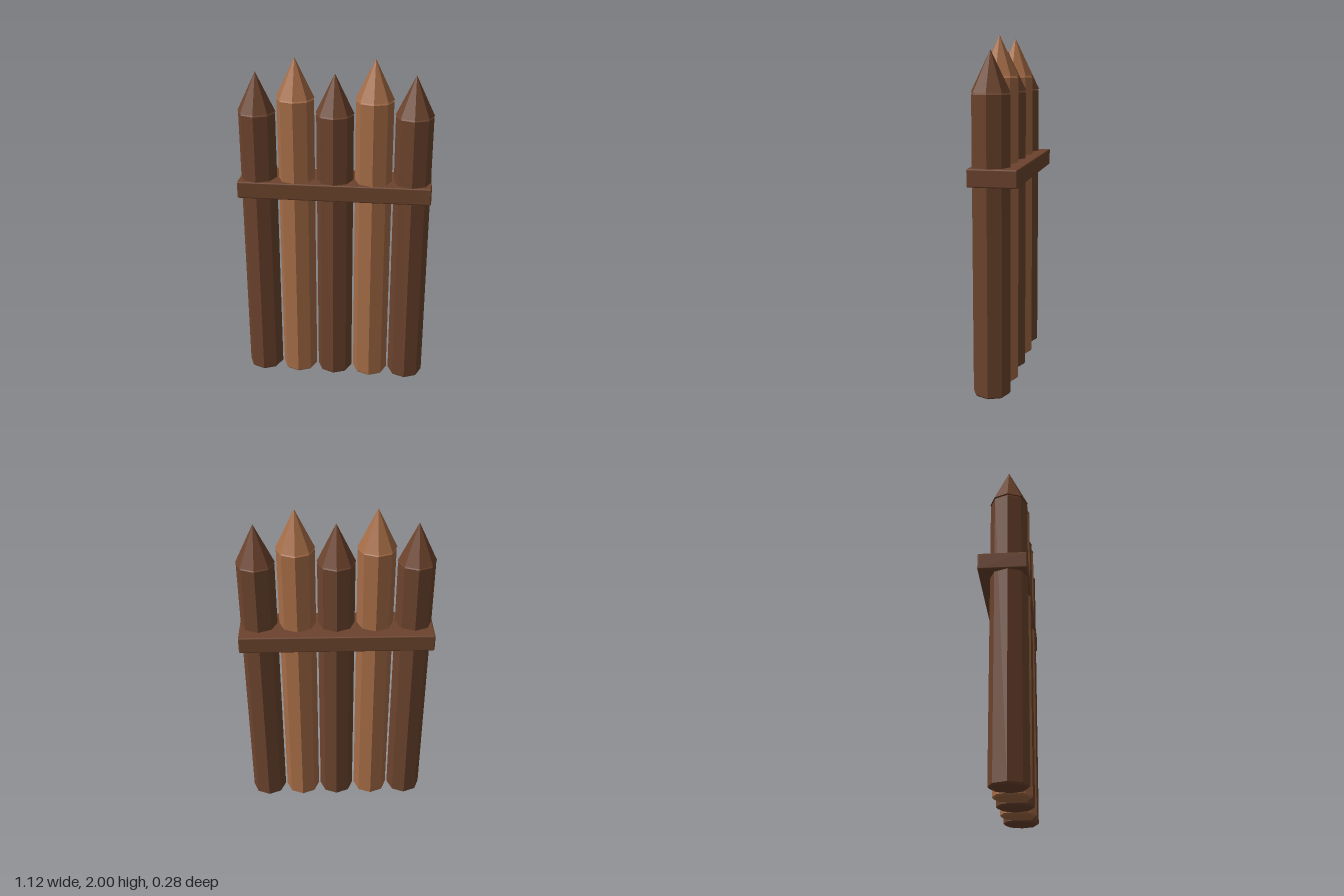
import * as THREE from 'three';
import { RoundedBoxGeometry } from 'three/addons/geometries/RoundedBoxGeometry.js';

const SIDES = 8;
const SPACING = 0.225;
const LOG_Z = 0.027;

// Give each facet its own flat normal
function faceted(geometry) {
  const flat = geometry.toNonIndexed();
  flat.computeVertexNormals();
  return flat;
}

// Eight-sided log with slightly bevelled ends
function logGeometry(height, radius = 0.107, bevel = 0.01) {
  const profile = [
    [0, 0], [radius - bevel, 0], [radius, bevel],
    [radius, height - bevel], [radius - bevel, height], [0, height],
  ].map(([x, y]) => new THREE.Vector2(x, y));
  return faceted(new THREE.LatheGeometry(profile, SIDES));
}

export function createModel() {
  const darkWood = new THREE.MeshStandardMaterial({ color: 0x6c432d });
  darkWood.name = 'dark wood';
  const lightWood = new THREE.MeshStandardMaterial({ color: 0xa56c46 });
  lightWood.name = 'light wood';

  const model = new THREE.Group();
  model.name = 'palisade';

  // Five sharpened stakes, alternating short dark and tall light
  const tipHeight = 0.225;
  for (let i = 0; i < 5; i++) {
    const tall = i % 2 === 1;
    const height = tall ? 1.775 : 1.69;
    const wood = tall ? lightWood : darkWood;

    const stake = new THREE.Group();
    stake.name = `stake${i + 1}`;
    stake.position.set((i - 2) * SPACING, 0, LOG_Z);

    const log = new THREE.Mesh(logGeometry(height), wood);
    log.name = 'log';

    const tip = new THREE.Mesh(faceted(new THREE.ConeGeometry(0.11, tipHeight, SIDES)), wood);
    tip.name = 'tip';
    tip.position.y = height + tipHeight / 2;

    stake.add(log, tip);
    model.add(stake);
  }

  // Crossbar that ties the stakes together and sticks out at the back
  const crossbar = new THREE.Mesh(new RoundedBoxGeometry(1.124, 0.1, 0.277, 2, 0.008), darkWood);
  crossbar.name = 'crossbar';
  crossbar.position.set(0, 1.243, -0.0015);
  model.add(crossbar);

  return model;
}
